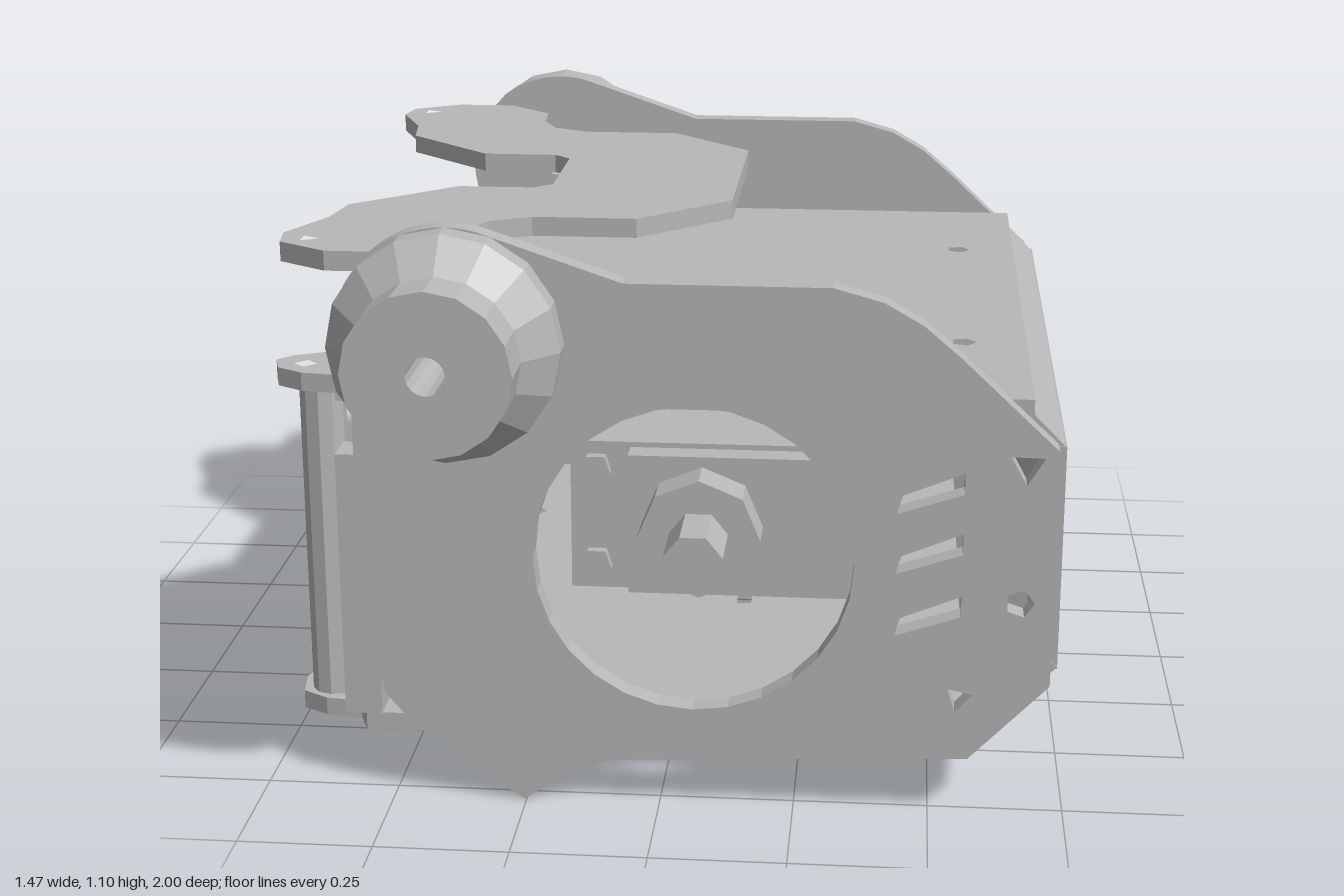
import * as THREE from 'three';

const grey = new THREE.MeshStandardMaterial({ color: 0xb8b8b8 });
grey.name = 'plainGrey';

const points = (list) => list.map(([x, y]) => new THREE.Vector2(x, y));

function add(parent, name, geometry) {
  const mesh = new THREE.Mesh(geometry, grey);
  mesh.name = name;
  parent.add(mesh);
  return mesh;
}

// Facet a round geometry
function faceted(geometry) {
  const g = geometry.toNonIndexed();
  g.computeVertexNormals();
  return g;
}

function roundHole(shape, x, y, r) {
  shape.holes.push(new THREE.Path().absarc(x, y, r, 0, Math.PI * 2, true));
}

function polyHole(shape, x, y, r, sides, turn = 0) {
  const corners = [];
  for (let i = 0; i < sides; i++) {
    const a = turn - (i / sides) * Math.PI * 2;
    corners.push([x + r * Math.cos(a), y + r * Math.sin(a)]);
  }
  shape.holes.push(new THREE.Path(points(corners)));
}

const extrude = (shape, depth) =>
  new THREE.ExtrudeGeometry(shape, { depth, bevelEnabled: false, curveSegments: 14 });

// Horizontal plate drawn in x, z, with its upper face at the given height
const deck = (shape, top, depth) => extrude(shape, depth).rotateX(Math.PI / 2).translate(0, top, 0);

// Upright plate drawn in z, y, with its outer face at local x = 0
const wall = (shape, depth) => extrude(shape, depth).rotateY(Math.PI / 2).translate(-depth, 0, 0);

// Outline symmetric in z from its half with z > 0
const mirrored = (half) =>
  new THREE.Shape(points([...half, ...half.slice().reverse().map(([x, z]) => [x, -z])]));

const rect = (w, y0, y1) => new THREE.Shape(points([[-w, y0], [w, y0], [w, y1], [-w, y1]]));

function sidePlateShape() {
  const s = new THREE.Shape();
  s.moveTo(-0.255, 0.005);
  [[-0.15, 0.075], [-0.08, 0.093], [0.57, 0.12], [0.715, 0.27], [0.715, 0.72], [0.54, 0.885],
    [0.47, 0.945], [0.4, 0.985], [0.31, 1.01], [-0.06, 1.01]].forEach(([x, y]) => s.lineTo(x, y));
  s.absarc(-0.375, 0.895, 0.21, 1.2, 3.87, false);
  [[-0.53, 0.29], [-0.51, 0.21], [-0.46, 0.15]].forEach(([x, y]) => s.lineTo(x, y));
  s.closePath();
  roundHole(s, 0.063, 0.493, 0.293);
  polyHole(s, -0.375, 0.895, 0.035, 4, 0.7);
  // Slanted vents and screw holes
  for (const y of [0.395, 0.515, 0.63]) {
    s.holes.push(new THREE.Path(points([
      [0.43, y - 0.035], [0.44, y], [0.55, y + 0.045], [0.55, y + 0.005]])));
  }
  polyHole(s, 0.66, 0.69, 0.035, 3, 0.5);
  polyHole(s, 0.655, 0.43, 0.027, 5);
  polyHole(s, 0.55, 0.24, 0.027, 3, 0.3);
  return s;
}

function buildWheelDrive(parent, s) {
  // Gear motor with nut and shaft
  const motor = new THREE.Group();
  motor.name = 'motor';
  parent.add(motor);
  add(motor, 'motorFlange', new THREE.BoxGeometry(0.6, 0.295, 0.3).translate(0.11, 0.492, s * 0.4));
  add(motor, 'gearbox', new THREE.BoxGeometry(0.5, 0.275, 0.05).translate(0.175, 0.492, s * 0.575));
  const along = (r, sides, z0, z1) => faceted(new THREE.CylinderGeometry(r, r, z1 - z0, sides)
    .rotateX(Math.PI / 2).translate(0.065, 0.495, s * (z0 + z1) / 2));
  add(motor, 'shaftCollar', along(0.115, 8, 0.6, 0.68));
  add(motor, 'shaft', along(0.056, 7, 0.68, 0.807));
  for (const y of [0.4, 0.59]) {
    add(motor, 'motorScrew', faceted(new THREE.CylinderGeometry(0.03, 0.03, 0.02, 5)
      .rotateX(Math.PI / 2).translate(-0.14, y, s * 0.56)));
  }

  // Stepped round hub with a bore
  const profile = points([[0.035, 0.74], [0.21, 0.74], [0.21, 0.835], [0.15, 0.9],
    [0.15, 1], [0.035, 1], [0.035, 0.74]]);
  const hub = faceted(new THREE.LatheGeometry(profile, 16)).rotateX(Math.PI / 2);
  if (s < 0) hub.rotateY(Math.PI);
  add(parent, 'sideHub', hub.translate(-0.375, 0.895, 0));
}

export function createModel() {
  const model = new THREE.Group();
  model.name = 'roverChassis';

  for (const s of [1, -1]) {
    add(model, s > 0 ? 'frontSidePlate' : 'backSidePlate',
      extrude(sidePlateShape(), 0.045).translate(0, 0, s > 0 ? 0.74 : -0.785));
    buildWheelDrive(model, s);
    // Post and corner bracket
    add(model, 'cornerPost', faceted(new THREE.CylinderGeometry(0.043, 0.043, 0.62, 10))
      .translate(-0.645, 0.457, s * 0.62));
    add(model, 'cornerBracket', new THREE.BoxGeometry(0.07, 0.515, 0.075)
      .translate(-0.565, 0.405, s * 0.7));
  }

  // Lid with two lugs over the posts
  const lid = mirrored([[-0.595, 0.5], [-0.65, 0.54], [-0.71, 0.57], [-0.735, 0.6], [-0.72, 0.65],
    [-0.67, 0.68], [-0.6, 0.69], [-0.595, 0.735], [0.67, 0.735]]);
  for (const s of [1, -1]) {
    polyHole(lid, 0.55, s * 0.37, 0.025, 5);
    polyHole(lid, -0.37, s * 0.62, 0.025, 5);
    polyHole(lid, -0.675, s * 0.62, 0.022, 4);
  }
  add(model, 'lid', deck(lid, 0.8, 0.035));

  // Floor with scalloped rear edge and a notch beside each side opening
  const floor = mirrored([[-0.71, 0], [-0.675, 0.1], [-0.655, 0.2], [-0.645, 0.32], [-0.655, 0.45],
    [-0.71, 0.58], [-0.7, 0.65], [-0.65, 0.68], [-0.58, 0.69], [-0.56, 0.738], [-0.13, 0.738],
    [-0.07, 0.69], [0.06, 0.67], [0.19, 0.69], [0.25, 0.738], [0.585, 0.738]]);
  for (const s of [1, -1]) {
    polyHole(floor, 0.45, s * 0.4, 0.022, 5);
    polyHole(floor, -0.4, s * 0.4, 0.022, 5);
  }
  polyHole(floor, -0.64, 0, 0.025, 4);
  floor.holes.push(new THREE.Path(points([[0.1, -0.13], [0.1, 0.13], [0.13, 0.13], [0.13, -0.13]])));
  add(model, 'floor', deck(floor, 0.15, 0.035));

  // Raised claw-shaped plate
  const claw = mirrored([[-0.275, 0.125], [-0.31, 0.16], [-0.46, 0.16], [-0.645, 0.34], [-0.66, 0.45],
    [-0.715, 0.58], [-0.705, 0.65], [-0.61, 0.712], [-0.485, 0.712], [-0.39, 0.62], [-0.385, 0.53],
    [-0.35, 0.455], [-0.275, 0.415], [-0.075, 0.415], [0.095, 0.24]]);
  for (const s of [1, -1]) polyHole(claw, -0.66, s * 0.62, 0.022, 3);
  add(model, 'clawPlate', deck(claw, 1.04, 0.037));

  // Upright panel with four screw holes
  const panel = rect(0.738, 0.285, 0.715);
  for (const z of [0.31, -0.31]) for (const y of [0.375, 0.62]) polyHole(panel, z, y, 0.021, 6);
  add(model, 'endPanel', wall(panel, 0.04).translate(0.73, 0, 0));

  // Slanted strip joining panel and lid
  add(model, 'upperSlope', wall(rect(0.735, 0, 0.083), 0.03).rotateZ(Math.PI / 4)
    .translate(0.73, 0.712, 0));

  // Slanted strip below the panel with three arches in its lower edge
  const slope = new THREE.Shape();
  slope.moveTo(-0.74, 0);
  for (const c of [-0.49, 0, 0.49]) {
    [[-0.075, 0], [-0.055, 0.08], [-0.025, 0.105], [0.025, 0.105], [0.055, 0.08], [0.075, 0]]
      .forEach(([z, v]) => slope.lineTo(c + z, v));
  }
  [[0.74, 0], [0.74, 0.205], [-0.74, 0.205]].forEach(([z, v]) => slope.lineTo(z, v));
  add(model, 'lowerSlope', wall(slope, 0.03).rotateZ(-Math.PI / 4).translate(0.585, 0.145, 0));

  // Recessed wall between the posts, with two slits
  const rear = rect(0.738, 0.15, 0.765);
  rear.holes.push(new THREE.Path(points([[0.2, 0.45], [0.2, 0.57], [0.21, 0.57], [0.21, 0.45]])));
  rear.holes.push(new THREE.Path(points([[-0.25, 0.25], [-0.25, 0.26], [-0.1, 0.26], [-0.1, 0.25]])));
  add(model, 'recessedWall', wall(rear, 0.03).translate(-0.535, 0, 0));

  return model;
}
